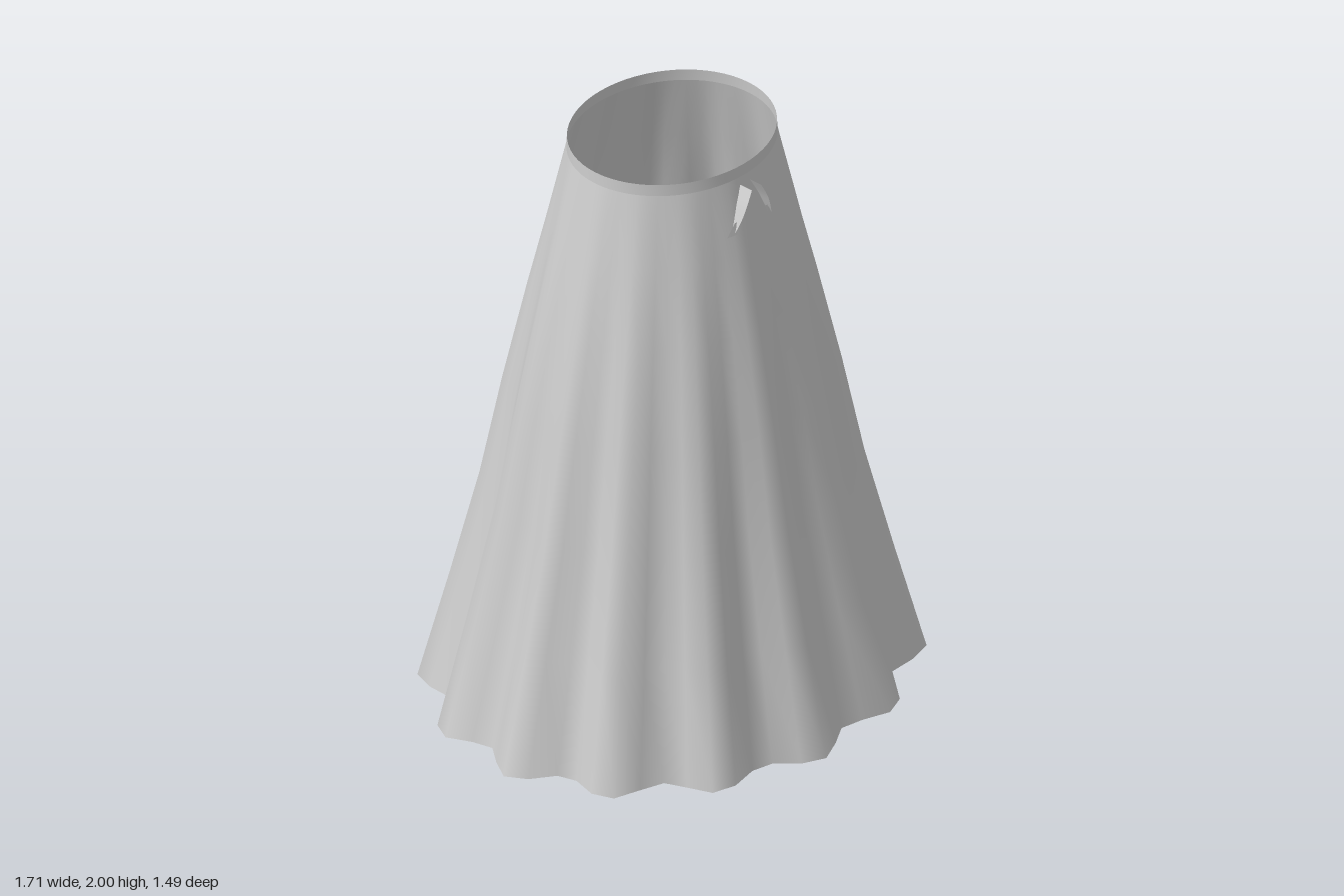
import * as THREE from 'three';

const SEGMENTS = 64, FOLDS = 14, DEPTH = 0.87;
const material = new THREE.MeshStandardMaterial({ color: 0xcccccc, side: THREE.DoubleSide });

// Joins rows of points into a smooth surface; closed rows wrap round.
function loft(name, rows, closed) {
  const n = rows[0].length, index = [];
  for (let r = 0; r < rows.length - 1; r++) {
    for (let i = 0; i < (closed ? n : n - 1); i++) {
      const j = (i + 1) % n, a = r * n, b = a + n;
      index.push(a + i, a + j, b + i, a + j, b + j, b + i);
    }
  }
  const geometry = new THREE.BufferGeometry();
  geometry.setAttribute('position', new THREE.Float32BufferAttribute(rows.flat(2), 3));
  geometry.setIndex(index);
  geometry.computeVertexNormals();
  const mesh = new THREE.Mesh(geometry, material);
  mesh.name = name;
  return mesh;
}

// Oval ring at height y, rippled by the given fold depth
function ring(y, radius, fold) {
  return Array.from({ length: SEGMENTS }, (_, i) => {
    const t = (i / SEGMENTS) * Math.PI * 2;
    const r = radius + fold * Math.sin(FOLDS * t);
    return [r * Math.cos(t), y, -r * Math.sin(t) * DEPTH];
  });
}

export function createModel() {
  const group = new THREE.Group();
  group.name = 'pleatedSkirt';

  // Flared skirt, folds deepening towards the hem: [height, radius, fold]
  const profile = [
    [0, 0.811, 0.049], [0.38, 0.712, 0.039], [0.75, 0.62, 0.03],
    [1.1, 0.553, 0.021], [1.45, 0.477, 0.012], [1.72, 0.414, 0.005], [1.96, 0.357, 0],
  ];
  group.add(loft('skirt', profile.map(p => ring(...p)), true));

  // Upright waistband
  group.add(loft('waistband', [ring(1.96, 0.357, 0), ring(2, 0.355, 0)], true));

  // Pair of curved ribbon ends passing through the front of the waist
  const path = new THREE.CatmullRomCurve3([
    new THREE.Vector3(0.022, 1.935, 0.365), new THREE.Vector3(0.05, 1.88, 0.367),
    new THREE.Vector3(0.07, 1.83, 0.36), new THREE.Vector3(0.085, 1.795, 0.35),
  ]).getPoints(8);
  for (const side of [-1, 1]) {
    const rows = path.map(p => [[side * p.x, p.y, 0.285], [side * p.x, p.y, p.z]]);
    group.add(loft(side > 0 ? 'leftRibbon' : 'rightRibbon', rows, false));
    // Tail lying against the cloth
    group.add(loft(side > 0 ? 'leftRibbonTail' : 'rightRibbonTail', [
      [[side * 0.06, 1.83, 0.345], [side * 0.08, 1.83, 0.345]],
      [[side * 0.07, 1.79, 0.355], [side * 0.115, 1.79, 0.345]],
    ], false));
  }
  return group;
}
